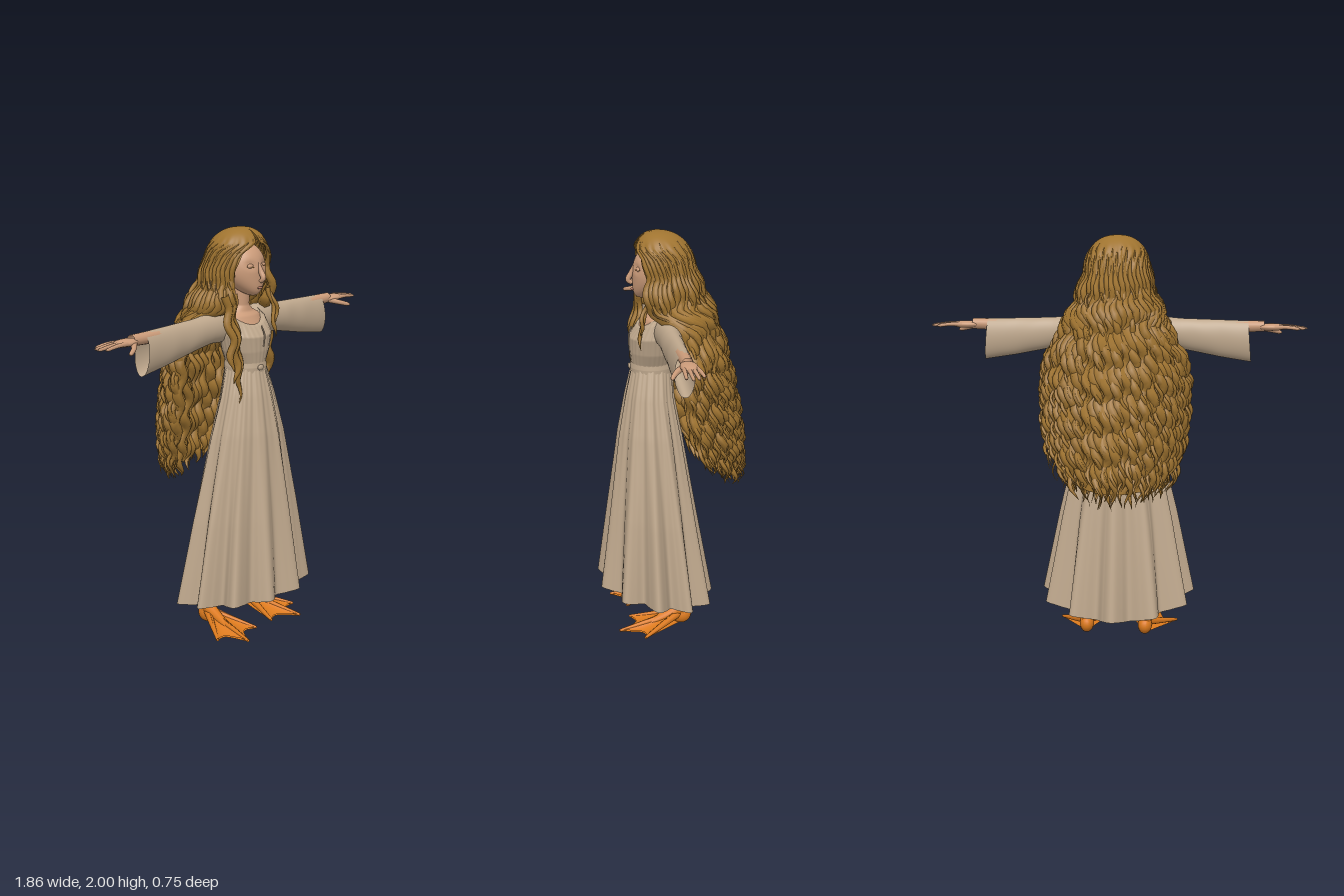
import * as THREE from 'three';
import { ParametricGeometry } from 'three/addons/geometries/ParametricGeometry.js';
import { mergeGeometries } from 'three/addons/utils/BufferGeometryUtils.js';

const mat = (name, color) => {
  const m = new THREE.MeshStandardMaterial({ color, side: THREE.DoubleSide });
  m.name = name;
  return m;
};
const { lerp, clamp, smoothstep } = THREE.MathUtils;
const V = (x, y, z) => new THREE.Vector3(x, y, z);

let seed = 7;
const rnd = () => (seed = (seed * 16807) % 2147483647) / 2147483647;

// Linear lookup in a table of rows whose first column descends
function lookup(rows, y) {
  let i = 0;
  while (i < rows.length - 2 && y < rows[i + 1][0]) i++;
  const a = rows[i], b = rows[i + 1];
  const t = clamp((a[0] - y) / (a[0] - b[0]), 0, 1);
  return a.map((n, k) => lerp(n, b[k], t));
}

// Tube that follows points, with its radius scaled by taper(t)
function taperedTube(points, radius, taper, steps = 24, sides = 6) {
  const curve = new THREE.CatmullRomCurve3(points);
  const geo = new THREE.TubeGeometry(curve, steps, radius, sides);
  const p = geo.attributes.position, v = V(0, 0, 0);
  for (let i = 0; i <= steps; i++) {
    const c = curve.getPointAt(i / steps), k = taper(i / steps);
    for (let j = 0; j <= sides; j++) {
      const n = i * (sides + 1) + j;
      v.fromBufferAttribute(p, n).sub(c).multiplyScalar(k).add(c);
      p.setXYZ(n, v.x, v.y, v.z);
    }
  }
  return geo;
}

// Hair envelope: y, half width, centre z, back z, front z, half angle from the back
const HAIR = [
  [2.0, 0.16, 0.07, -0.095, 0.205, 180], [1.935, 0.16, 0.06, -0.1, 0.2, 174],
  [1.89, 0.16, 0.05, -0.105, 0.195, 143], [1.8, 0.168, 0.04, -0.12, 0.19, 131],
  [1.7, 0.195, 0.035, -0.16, 0.185, 139], [1.64, 0.215, 0.02, -0.18, 0.17, 142],
  [1.61, 0.225, 0.0, -0.187, 0.12, 122], [1.56, 0.24, -0.015, -0.2, 0.0, 95],
  [1.5, 0.265, -0.02, -0.215, 0.0, 92], [1.4, 0.32, -0.02, -0.24, 0.0, 92],
  [1.3, 0.33, -0.025, -0.265, -0.01, 92], [1.1, 0.325, -0.055, -0.305, -0.04, 92],
  [0.95, 0.3, -0.09, -0.325, -0.08, 92], [0.8, 0.26, -0.13, -0.335, -0.12, 92],
  [0.66, 0.21, -0.15, -0.33, -0.14, 92],
];
function hairPoint(s, y, scale = 1, out = 0) {
  const [, w, zc, back, front, amax] = lookup(HAIR, y);
  const f = y > 1.83 ? Math.pow(Math.max(0, 1 - ((y - 1.83) / 0.17) ** 2.2), 0.43) : 1;
  const a = s * amax * Math.PI / 180, c = Math.cos(a);
  const d = c > 0 ? (zc - back) * Math.pow(c, 0.25 * smoothstep(1.7 - y, 0, 0.4)) : front - zc;
  return V((w * f * scale + out) * Math.sin(a), y, zc - (d * f * scale + out) * c);
}
// The mane hangs lower on its right side than on its left
const hairEnd = s => 0.71 + s * s * (s > 0 ? 0.2 : 0.06);

function hairLock(s, y0, y1, radius, scale, phase) {
  const pts = [], n = 38;
  for (let i = 0; i <= n; i++) {
    const y = lerp(y0, y1, i / n);
    const amp = 0.019 * smoothstep(1.95 - y, 0.02, 0.3);
    const w = y * 42 + phase;
    pts.push(hairPoint(s + amp * Math.sin(w) * 1.5, y, lerp(0.98, scale, smoothstep(i / n, 0, 0.35)), amp * Math.cos(w) * 0.8));
  }
  return taperedTube(pts, radius, t => Math.min(1, 0.1 + t * 2.6) * Math.min(1, (1.01 - t) * 6), 56, 6);
}

function buildHair(add, hair) {
  // Scalp cap and the inner sheet of the mane, parted at the front
  add('hairShell', new ParametricGeometry((u, v, p) => {
    const s = u * 2 - 1, y = lerp(2, hairEnd(s) + 0.08, Math.pow(v, 1.9));
    p.copy(hairPoint(s, y, 1, 0.004 * Math.sin(s * 60 + 2 * Math.sin(y * 30)) * smoothstep(2 - y, 0.02, 0.12)));
  }, 110, 60), hair);

  // Wavy locks: count, top, random drop, radius, layer scale, random phase
  const layers = [
    [34, 1.965, 0.04, 0.03, 0.99, 1.8], [24, 1.93, 0.2, 0.023, 1.05, 5],
    [24, 1.5, 0.1, 0.028, 0.8, 6], [26, 1.85, 0.5, 0.009, 1.1, 6],
  ];
  const locks = [];
  for (const [count, top, drop, radius, scale, phase] of layers)
    for (let i = 0; i < count; i++) {
      const s = ((i + 0.5) / count * 2 - 1) * 0.98;
      locks.push(hairLock(s, top - rnd() * drop, hairEnd(s) + rnd() * 0.09, radius * (0.85 + 0.3 * rnd()), scale, s * 2 + rnd() * phase));
    }
  add('hairLocks', mergeGeometries(locks), hair);

  // Locks hanging in front of the shoulders: x, end y, radius
  const front = [[-0.125, 1.18, 0.014], [-0.15, 1.28, 0.02], [-0.178, 1.34, 0.02], [0.135, 1.46, 0.01], [0.15, 1.53, 0.01]];
  const frontLocks = front.map(([x, end, r], k) => {
    const pts = [];
    for (let i = 0; i <= 14; i++) {
      const t = i / 14, y = lerp(1.7, end, t);
      pts.push(V(x + 0.01 * Math.sin(y * 42 + k), y, 0.135 + 0.035 * smoothstep(t, 0.1, 0.6) + 0.006 * Math.cos(y * 42)));
    }
    return taperedTube(pts, r, t => Math.min(1, (1.03 - t) * 4), 36, 6);
  });
  add('frontLocks', mergeGeometries(frontLocks), hair);
}

function buildHead(add, skin, lip, hair) {
  // Head narrowing to a forward chin
  const head = new THREE.SphereGeometry(1, 40, 28), p = head.attributes.position;
  for (let i = 0; i < p.count; i++) {
    const x = p.getX(i), y = p.getY(i), z = p.getZ(i), low = y < 0 ? y * y : 0;
    const socket = z > 0 ? 0.012 * Math.exp(-(((Math.abs(x) - 0.42) / 0.2) ** 2) - ((y - 0.2) / 0.13) ** 2) : 0;
    p.setXYZ(i, x * 0.11 * (1 - 0.35 * low), 1.805 + y * 0.125, 0.087 + z * 0.102 + 0.055 * low - socket);
  }
  head.computeVertexNormals();
  add('head', head, skin);
  add('nose', taperedTube([V(0, 1.845, 0.177), V(0, 1.8, 0.195), V(0, 1.768, 0.21), V(0, 1.752, 0.192)],
    0.0125, t => 0.4 + 0.7 * Math.sin(t * 2.6), 14, 8), skin);
  add('lips', new THREE.SphereGeometry(1, 16, 10).scale(0.02, 0.006, 0.006).translate(0, 1.722, 0.191), lip);
  for (const s of [-1, 1]) {
    add('eyelid', new THREE.SphereGeometry(1, 14, 10).scale(0.021, 0.011, 0.01).translate(s * 0.044, 1.826, 0.167), skin);
    add('eyelash', taperedTube([V(s * 0.022, 1.822, 0.177), V(s * 0.044, 1.82, 0.178), V(s * 0.067, 1.826, 0.163)], 0.002, () => 1, 8, 4), hair);
  }
  // Neck and upper chest
  const NECK = [[1.73, 0.042, 0.075, 0.042], [1.63, 0.044, 0.065, 0.044], [1.605, 0.07, 0.065, 0.05],
    [1.58, 0.115, 0.07, 0.07], [1.5, 0.125, 0.09, 0.09]];
  add('neck', ring(NECK), skin);
}

// Elliptical loft; rows are y, rx, centre z, rz; dip lowers the front of the top
function ring(rows, dip = 0, pleat = 0) {
  const top = rows[0][0], bottom = rows[rows.length - 1][0];
  return new ParametricGeometry((u, v, p) => {
    const a = u * Math.PI * 2, y = lerp(bottom, top, v), [, rx, zc, rz] = lookup(rows, y);
    const k = 1 + pleat * Math.sin(a * 30), c = Math.cos(a);
    p.set(rx * k * Math.sin(a), y - dip * v ** 3 * Math.max(0, c) ** 2, zc + rz * k * c);
  }, pleat ? 120 : 40, 24);
}

function buildDress(add, dress) {
  const BODICE = [[1.6, 0.115, 0.065, 0.075], [1.575, 0.135, 0.075, 0.095], [1.5, 0.146, 0.1, 0.11],
    [1.42, 0.126, 0.1, 0.108], [1.36, 0.097, 0.1, 0.1], [1.32, 0.095, 0.1, 0.1]];
  add('bodice', ring(BODICE, 0.05, 0.008), dress);
  add('sash', ring([[1.362, 0.098, 0.1, 0.102], [1.34, 0.101, 0.1, 0.106], [1.315, 0.1, 0.1, 0.104]]), dress);
  add('sashKnot', new THREE.SphereGeometry(1, 12, 8).scale(0.022, 0.014, 0.008).translate(-0.01, 1.34, 0.206), dress);
  add('neckTie', taperedTube([V(0.004, 1.54, 0.196), V(0.01, 1.5, 0.211), V(0.006, 1.44, 0.209)], 0.004, () => 1, 10, 5), dress);

  // Long pleated skirt, its hem higher at the front
  const SKIRT = [[1, 0.096, 0.1, 0.1], [0.87, 0.147, 0.112, 0.122], [0.7, 0.205, 0.11, 0.16],
    [0.36, 0.298, 0.1, 0.222], [0, 0.382, 0.088, 0.288]];
  add('skirt', new ParametricGeometry((u, v, p) => {
    const a = u * Math.PI * 2, c = Math.cos(a), sn = Math.sin(a);
    const [, rx, zc, rz] = lookup(SKIRT, v);
    const wave = Math.sin(a * 11 - 1.55 + 0.3 * Math.sin(a * 2 + 1));
    const fine = Math.sin(a * 29 + 1.3) * 0.014 * smoothstep(v, 0.2, 0.9);
    const k = 1 + (1 - v * 0.85) * 0.12 * (Math.sign(wave) * Math.pow(Math.abs(wave), 1.2) - 0.75) + fine;
    const hem = 0.152 + 0.05 * c + 0.025 * sn * sn + 0.008 * wave;
    p.set(rx * k * sn, lerp(hem, 1.345, v), zc + rz * k * c);
  }, 200, 30), dress);
}

// Sleeve profile: x, top y, bottom y, half depth
const SLEEVE = [[0.65, 1.588, 1.386, 0.046], [0.5, 1.592, 1.41, 0.046], [0.32, 1.597, 1.446, 0.05],
  [0.2, 1.608, 1.465, 0.056], [0.13, 1.612, 1.46, 0.06], [0.08, 1.595, 1.47, 0.045]];

function buildArm(add, dress, skin) {
  // Sleeve widening to an open cuff
  add('sleeve', new ParametricGeometry((u, v, p) => {
    const a = u * Math.PI * 2, x = lerp(0.08, 0.65, v), [, top, low, rz] = lookup(SLEEVE, x);
    const k = 1 + 0.03 * Math.sin(x * 38 + 2 * Math.sin(a)) * Math.sin(v * Math.PI);
    p.set(x - 0.008 * Math.cos(a) * v, (top + low) / 2 + (top - low) / 2 * Math.cos(a), 0.046 + rz * k * Math.sin(a));
  }, 40, 40), dress);
  // Forearm, palm and fingers
  const digit = t => (1 - 0.35 * t) * Math.min(1, (1.01 - t) * 9);
  add('forearm', taperedTube([V(0.2, 1.54, 0.046), V(0.5, 1.556, 0.046), V(0.72, 1.562, 0.048)], 0.04, t => 1 - t * 0.35, 12, 14), skin);
  add('palm', new THREE.SphereGeometry(1, 18, 12).scale(0.075, 0.018, 0.04).translate(0.755, 1.558, 0.047), skin);
  const tips = [[0.895, 0.002], [0.925, 0.03], [0.932, 0.056], [0.91, 0.084]];
  tips.forEach(([x, z], i) => {
    const z0 = 0.02 + i * 0.018;
    add('finger', taperedTube([V(0.76, 1.558, z0), V(0.83, 1.56, lerp(z0, z, 0.5)), V(x, 1.552, z)], 0.0115, digit, 16, 8), skin);
  });
  add('thumb', taperedTube([V(0.715, 1.552, 0.062), V(0.76, 1.537, 0.105), V(0.81, 1.522, 0.133)], 0.015, digit, 14, 8), skin);
}

function buildLeg(add, orange) {
  const X = 0.148, Z = -0.025;
  add('shin', taperedTube([V(X, 0.05, Z), V(X, 0.1, Z), V(X, 0.25, Z), V(X - 0.03, 0.6, 0.03)], 0.034, t => 0.95 + t * 0.6, 18, 14), orange);
  add('heel', new THREE.SphereGeometry(1, 18, 12).scale(0.036, 0.045, 0.05).translate(X, 0.046, Z), orange);
  add('instep', taperedTube([V(X, 0.09, Z), V(X + 0.01, 0.062, Z + 0.06), V(X + 0.03, 0.028, Z + 0.16)], 0.036, t => 1 - 0.5 * t, 12, 12), orange);
  // Webbed foot: three toe ridges with scalloped webbing between them
  const toes = [[-19, 0.27], [10, 0.33], [36, 0.255]];
  const foot = height => (u, v, p) => {
    const t = u * 2, i = Math.min(1, Math.floor(t)), f = t - i;
    const near = Math.abs(2 * f - 1), len = lerp(toes[i][1], toes[i + 1][1], f) * (0.78 + 0.22 * near ** 2);
    const a = lerp(toes[i][0], toes[i + 1][0], f) * Math.PI / 180;
    p.set(X + Math.sin(a) * len * v, 0.004 + height * (0.075 * (1 - v) ** 1.2 + 0.007 + 0.012 * near ** 4 * (1 - v * 0.5)), Z + Math.cos(a) * len * v);
  };
  add('webTop', new ParametricGeometry(foot(1), 40, 14), orange);
  add('webSole', new ParametricGeometry(foot(0), 40, 14), orange);
  for (const [deg, len] of toes) {
    const a = deg * Math.PI / 180, at = (r, y) => V(X + Math.sin(a) * r, y, Z + Math.cos(a) * r);
    add('toe', taperedTube([at(0, 0.065), at(len * 0.5, 0.036), at(len, 0.009)], 0.022, t => 1.05 - 0.72 * t, 14, 8), orange);
  }
}

export function createModel() {
  const model = new THREE.Group();
  const hair = mat('golden brown hair', 0xa07430), dress = mat('beige cloth', 0xbea78c);
  const skin = mat('skin', 0xcc9c7a), orange = mat('orange feet', 0xdc7a1e), lip = mat('lips', 0xb57c66);
  const adder = parent => (name, geo, material) => {
    const m = new THREE.Mesh(geo, material);
    m.name = name;
    parent.add(m);
  };
  const add = adder(model);
  buildHead(add, skin, lip, hair);
  buildHair(add, hair);
  buildDress(add, dress);
  // Arms and legs mirrored to both sides
  for (const s of [1, -1]) {
    const limbs = new THREE.Group();
    limbs.name = s > 0 ? 'leftLimbs' : 'rightLimbs';
    limbs.scale.x = s;
    buildArm(adder(limbs), dress, skin);
    buildLeg(adder(limbs), orange);
    model.add(limbs);
  }
  return model;
}
